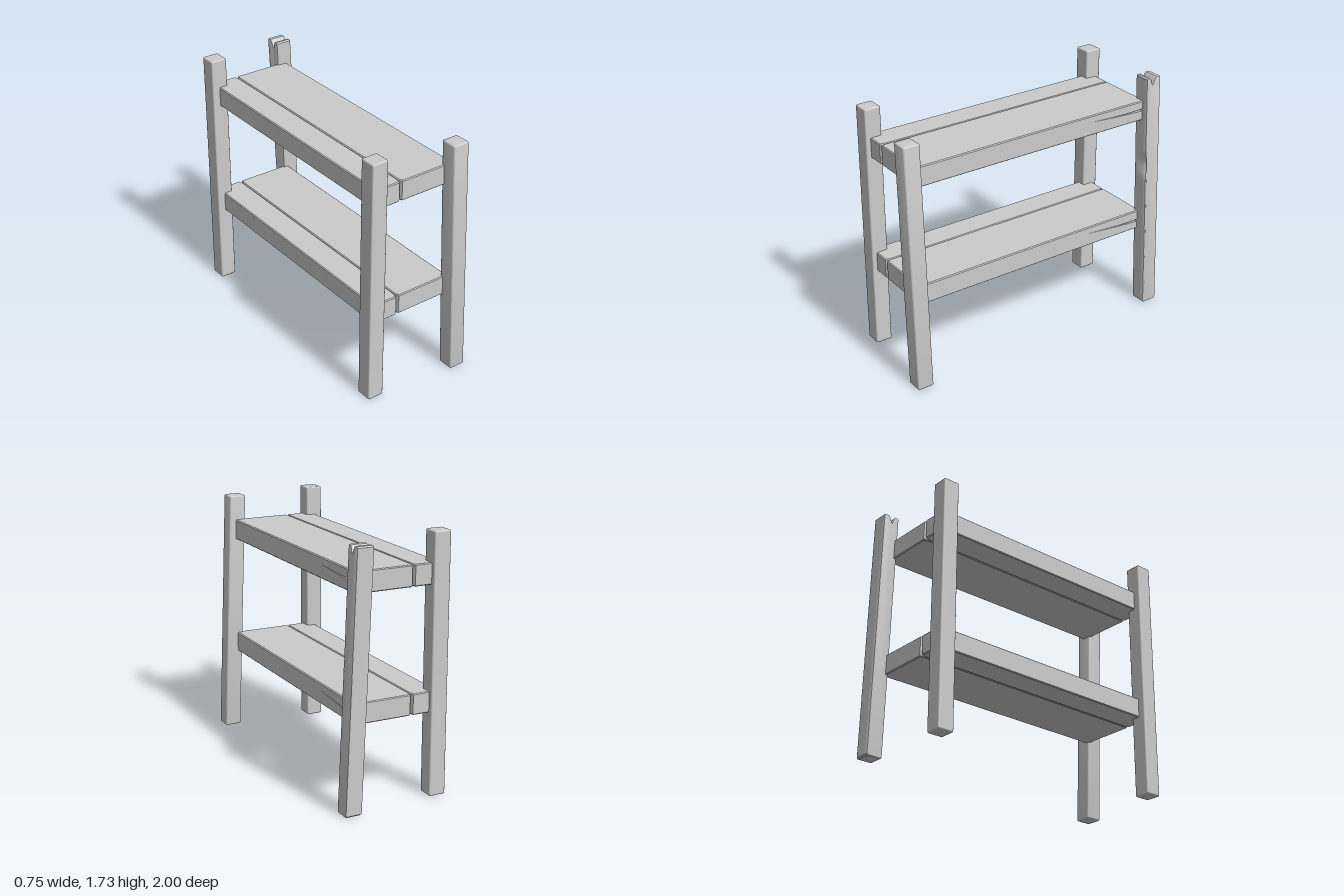
import * as THREE from 'three';
import { RoundedBoxGeometry } from 'three/addons/geometries/RoundedBoxGeometry.js';
import { toCreasedNormals } from 'three/addons/utils/BufferGeometryUtils.js';

const material = new THREE.MeshStandardMaterial({ color: 0xcccccc });
const POST = 0.115;         // post thickness
const SHELF_H = 0.14;       // plank thickness
const SHELF_L = 0.905;      // half length of a plank
const EDGE = 0.006;         // plank edge chamfer
const LEAN_H = 1.7;

const shapeOf = (pts) => new THREE.Shape(pts.map(([x, y]) => new THREE.Vector2(x, y)));

function part(name, geometry, x = 0, y = 0, z = 0) {
  const mesh = new THREE.Mesh(geometry, material);
  mesh.name = name;
  mesh.position.set(x, y, z);
  return mesh;
}

// Moves every vertex by a rule, then restores the normals
function deform(geometry, rule) {
  const p = geometry.attributes.position;
  const v = new THREE.Vector3();
  for (let i = 0; i < p.count; i++) {
    rule(v.fromBufferAttribute(p, i));
    p.setXYZ(i, v.x, v.y, v.z);
  }
  return toCreasedNormals(geometry, 0.5);
}

// Slants a post inward towards its top
const lean = (v) => { v.x -= 0.07 * v.y / LEAN_H; };

function straightPost(height) {
  return new RoundedBoxGeometry(POST, height, POST, 2, 0.01).translate(0, height / 2, 0);
}

// Leaning post with a split top and a chip in its inner outer edge
function splitPostGeometry() {
  const r = POST / 2, c = 0.009, H = LEAN_H;
  const pts = [[-r + c, 0], [r - c, 0], [r, c], [r, H - c], [r - c, H],
    [0.022, H], [0.012, H - 0.01], [-0.002, H - 0.042], [-0.008, H - 0.052],
    [-0.013, H - 0.042], [-0.019, H - 0.018], [-0.03, H - 0.003], [-r + c, H], [-r, H - c]];
  for (let y = 1.2; y > 0.93; y -= 0.02) pts.push([-r, y]);
  pts.push([-r, c]);
  const geo = new THREE.ExtrudeGeometry(shapeOf(pts), {
    depth: POST - 2 * c, steps: 4, bevelThickness: c, bevelSize: c, bevelOffset: -c, bevelSegments: 2,
  }).translate(0, 0, -r + c).rotateY(Math.PI / 2);
  return deform(geo, (v) => {
    const t = Math.abs(v.y - 1.07) / 0.11;
    if (t < 1 && v.z > r - 2 * c) {
      const dent = 0.02 * (0.5 + 0.5 * Math.cos(Math.PI * t)) * Math.max(0, 0.5 + v.x / POST);
      v.z -= dent;
      if (v.x > r - 2 * c) v.x -= dent * 0.6;
    }
    lean(v);
  });
}

// Plank from its plan outline; seam is the side (+1 or -1) that meets the other plank
function plankGeometry(x0, x1, seam) {
  const L = SHELF_L, nx = 0.01, nz = 0.03;
  const pts = seam > 0
    ? [[x0, -L], [x1 - nx, -L], [x1, -L + nz], [x1, L - nz], [x1 - nx, L], [x0, L]]
    : [[x0 + nx, -L], [x1, -L], [x1, L], [x0 + nx, L], [x0, L - nz], [x0, -L + nz]];
  return new THREE.ExtrudeGeometry(shapeOf(pts), {
    depth: SHELF_H - 2 * EDGE, bevelThickness: EDGE, bevelSize: EDGE, bevelOffset: -EDGE, bevelSegments: 1,
  }).translate(0, 0, EDGE).rotateX(-Math.PI / 2);
}

// Outer edge of the wide plank, with a crack running in from the back end
function crackedEdgeGeometry(drop) {
  const L = SHELF_L, h = SHELF_H, depth = 0.035;
  const outline = shapeOf([[-L, 0], [L, 0], [L, 0.066 - drop], [0.72, 0.074 - drop * 0.6],
    [0.43, 0.094], [0.72, 0.080 - drop * 0.6], [0.8, 0.080 - drop * 0.8], [L, 0.083 - drop], [L, h], [-L, h]]);
  const geo = new THREE.ExtrudeGeometry(outline, { depth, steps: 5, bevelEnabled: false })
    .rotateY(Math.PI / 2);
  return deform(geo, (v) => {
    if (v.x > depth - 0.001) {
      v.y = THREE.MathUtils.clamp(v.y, EDGE, h - EDGE);
      v.z = THREE.MathUtils.clamp(v.z, -L + EDGE, L - EDGE);
    }
  });
}

function shelf(name, y, drop) {
  const group = new THREE.Group();
  group.name = name;
  group.position.y = y;
  group.add(
    part('narrowPlank', plankGeometry(-0.325, -0.138, 1)),
    part('widePlank', plankGeometry(-0.136, 0.241, -1)),
    part('crackedPlankEdge', crackedEdgeGeometry(drop), 0.235),
  );
  return group;
}

export function createModel() {
  const model = new THREE.Group();
  model.name = 'shelfRack';

  // Upright posts
  for (const [side, s] of [['front', 1], ['back', -1]]) {
    model.add(part(side + 'UprightPost', straightPost(1.73), -0.32, 0, 0.88 * s));
  }

  // Leaning posts
  model.add(part('frontLeaningPost', deform(straightPost(LEAN_H), lean), 0.319, 0, 0.942));
  model.add(part('backSplitPost', splitPostGeometry(), 0.319, 0, -0.942));

  // Shelves
  model.add(shelf('lowerShelf', 0.56, 0.012), shelf('upperShelf', 1.39, 0));
  return model;
}
